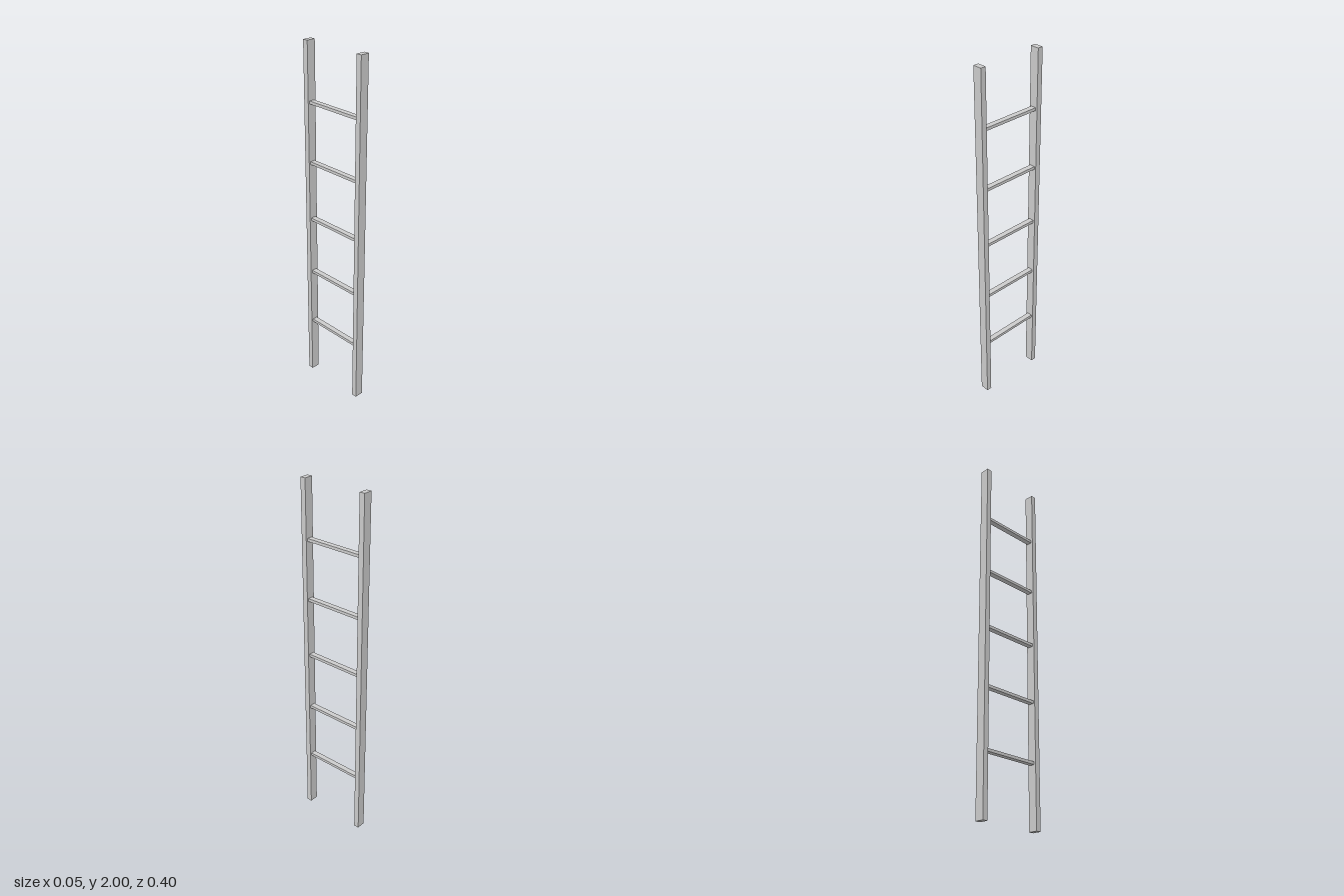
import * as THREE from 'three';

export function createModel() {
  const ladder = new THREE.Group();
  ladder.name = 'ladder';
  const material = new THREE.MeshStandardMaterial({ color: 0xcccccc, flatShading: true });

  const addBox = (name, w, h, d, y, z) => {
    const mesh = new THREE.Mesh(new THREE.BoxGeometry(w, h, d), material);
    mesh.name = name;
    mesh.position.set(0, y, z);
    ladder.add(mesh);
  };

  // Two upright rails
  addBox('frontRail', 0.05, 2, 0.03, 1, 0.185);
  addBox('backRail', 0.05, 2, 0.03, 1, -0.185);

  // Five evenly spaced rungs between the rails
  for (let i = 0; i < 5; i++) {
    addBox(`rung${i + 1}`, 0.03, 0.016, 0.34, 0.347 + i * 0.3335, 0);
  }
  return ladder;
}
